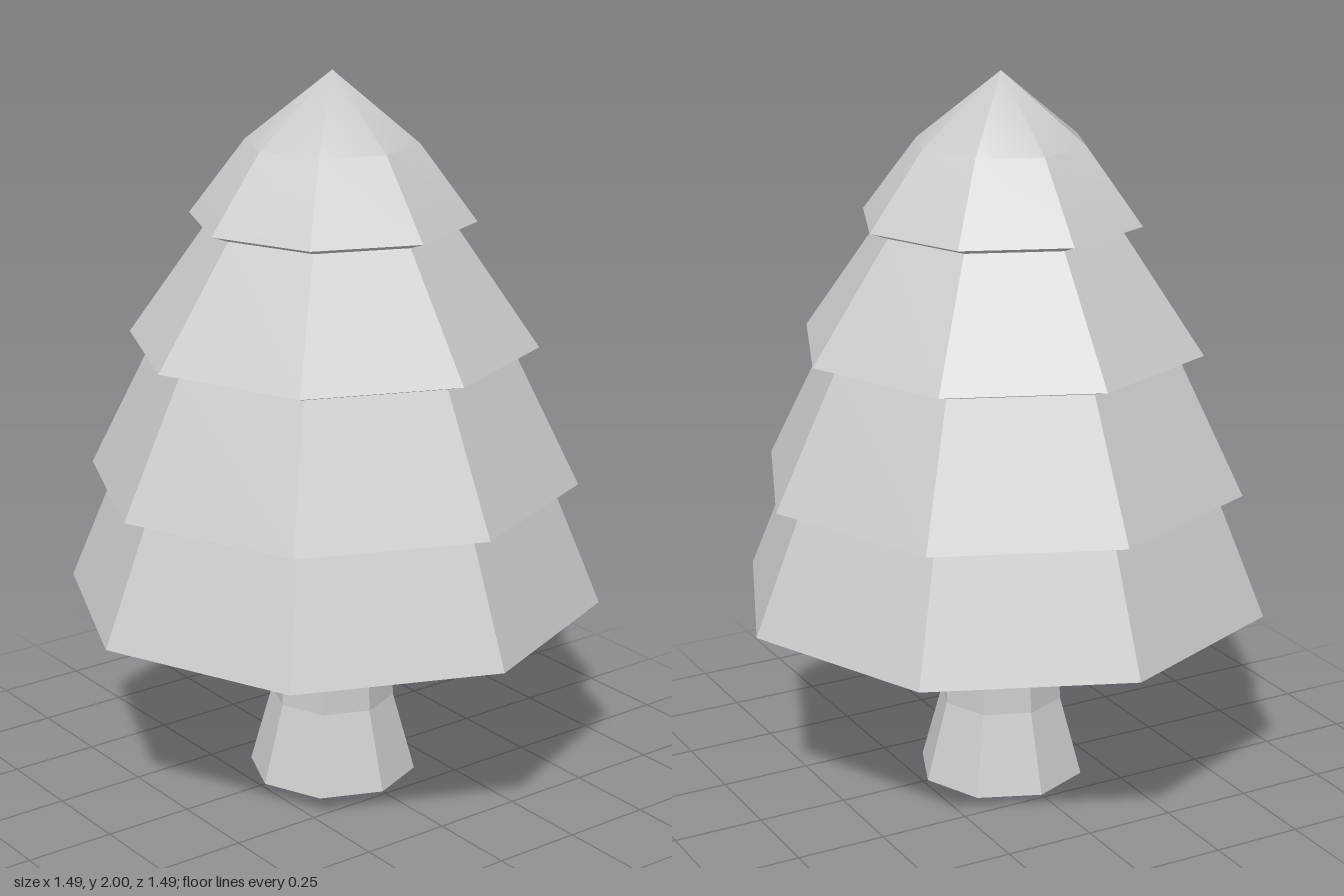
import * as THREE from 'three';
import { toCreasedNormals } from 'three/addons/utils/BufferGeometryUtils.js';

const SIDES = 8;

const toPoints = (profile) => profile.map(([r, y]) => new THREE.Vector2(r, y));

// Solid of revolution; corners lie on the x and z axes
function turned(name, profile, flatShading) {
  const material = new THREE.MeshStandardMaterial({ color: 0xcccccc, flatShading });
  const mesh = new THREE.Mesh(new THREE.LatheGeometry(toPoints(profile), SIDES), material);
  mesh.name = name;
  return mesh;
}

export function createModel() {
  const tree = new THREE.Group();
  tree.name = 'tree';

  // Trunk, flared at the foot and reaching up into the hollow underside
  tree.add(turned('trunk', [[0, 0], [0.236, 0], [0.174, 0.225], [0.157, 0.65]], true));

  // Shallow hollow under the lowest tier
  tree.add(turned('foliageUnderside', [[0, 0.655], [0.745, 0.538]], false));

  // Three stacked tiers of foliage, each overhanging the one below
  tree.add(turned('foliage', [
    [0.745, 0.538], [0.612, 0.862],
    [0.678, 0.88], [0.498, 1.244],
    [0.562, 1.264], [0.338, 1.585],
    [0.39, 1.604],
  ], true));

  // Top tier: four quadrants creased on the diagonals, softening towards the tip
  const topTier = new THREE.Group();
  topTier.name = 'topTier';
  const topProfile = toPoints([[0.39, 1.604], [0.235, 1.81], [0, 2]]);
  for (let i = 0; i < 4; i++) {
    const lathe = new THREE.LatheGeometry(topProfile, 2, Math.PI / 4 + i * Math.PI / 2, Math.PI / 2);
    const quadrant = new THREE.Mesh(
      toCreasedNormals(lathe, THREE.MathUtils.degToRad(33)),
      new THREE.MeshStandardMaterial({ color: 0xcccccc }),
    );
    quadrant.name = 'topTierQuadrant';
    topTier.add(quadrant);
  }
  tree.add(topTier);

  return tree;
}
